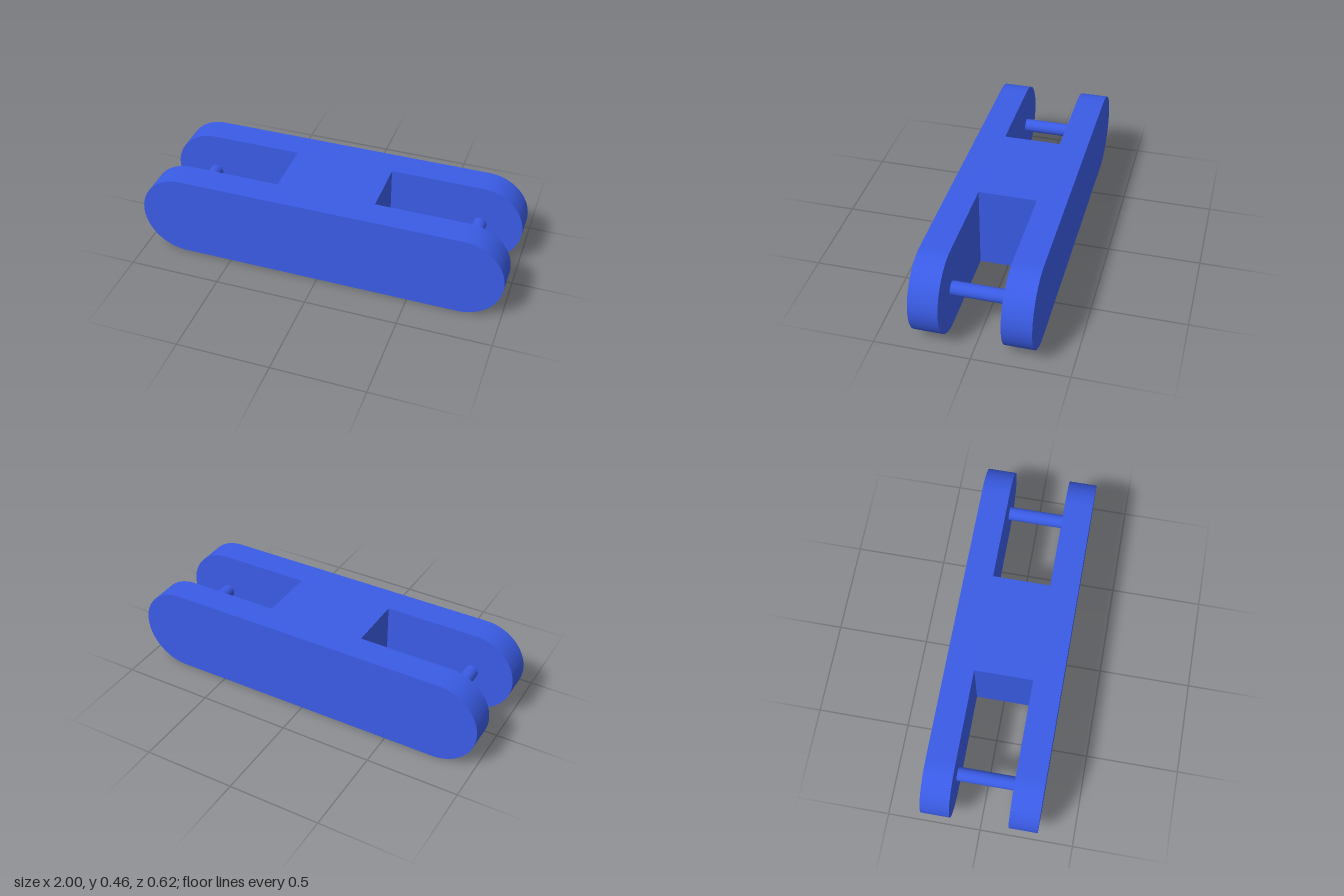
import * as THREE from 'three';
import { toCreasedNormals } from 'three/addons/utils/BufferGeometryUtils.js';

const HEIGHT = 0.462, R = HEIGHT / 2; // plate height and end radius
const END = 1 - R;                    // centre of each rounded end
const INNER = 0.155, OUTER = 0.308;   // z of the plates' inner and outer faces

export function createModel() {
  const group = new THREE.Group();
  group.name = 'chainLink';
  const material = new THREE.MeshStandardMaterial({ color: 0x3a5ce6 });

  const add = (name, geometry, x, y, z) => {
    const mesh = new THREE.Mesh(geometry, material);
    mesh.name = name;
    mesh.position.set(x, y, z);
    group.add(mesh);
  };

  // Side plates: long slabs with half-round ends
  const outline = new THREE.Shape();
  outline.absarc(END, 0, R, -Math.PI / 2, Math.PI / 2, false);
  outline.absarc(-END, 0, R, Math.PI / 2, Math.PI * 1.5, false);
  outline.closePath();
  const plate = toCreasedNormals(new THREE.ExtrudeGeometry(outline, {
    depth: OUTER - INNER, bevelEnabled: false, curveSegments: 32,
  }), 0.5);
  add('frontPlate', plate, 0, R, INNER);
  add('backPlate', plate, 0, R, -OUTER);

  // Solid block joining the plates
  add('centreBlock', new THREE.BoxGeometry(0.54, HEIGHT, INNER * 2), 0, R, 0);

  // Cross pins at the centres of the rounded ends
  const pin = new THREE.CylinderGeometry(0.037, 0.037, INNER * 2, 32, 1, true).rotateX(Math.PI / 2);
  add('leftPin', pin, END, R, 0);
  add('rightPin', pin, -END, R, 0);

  return group;
}
